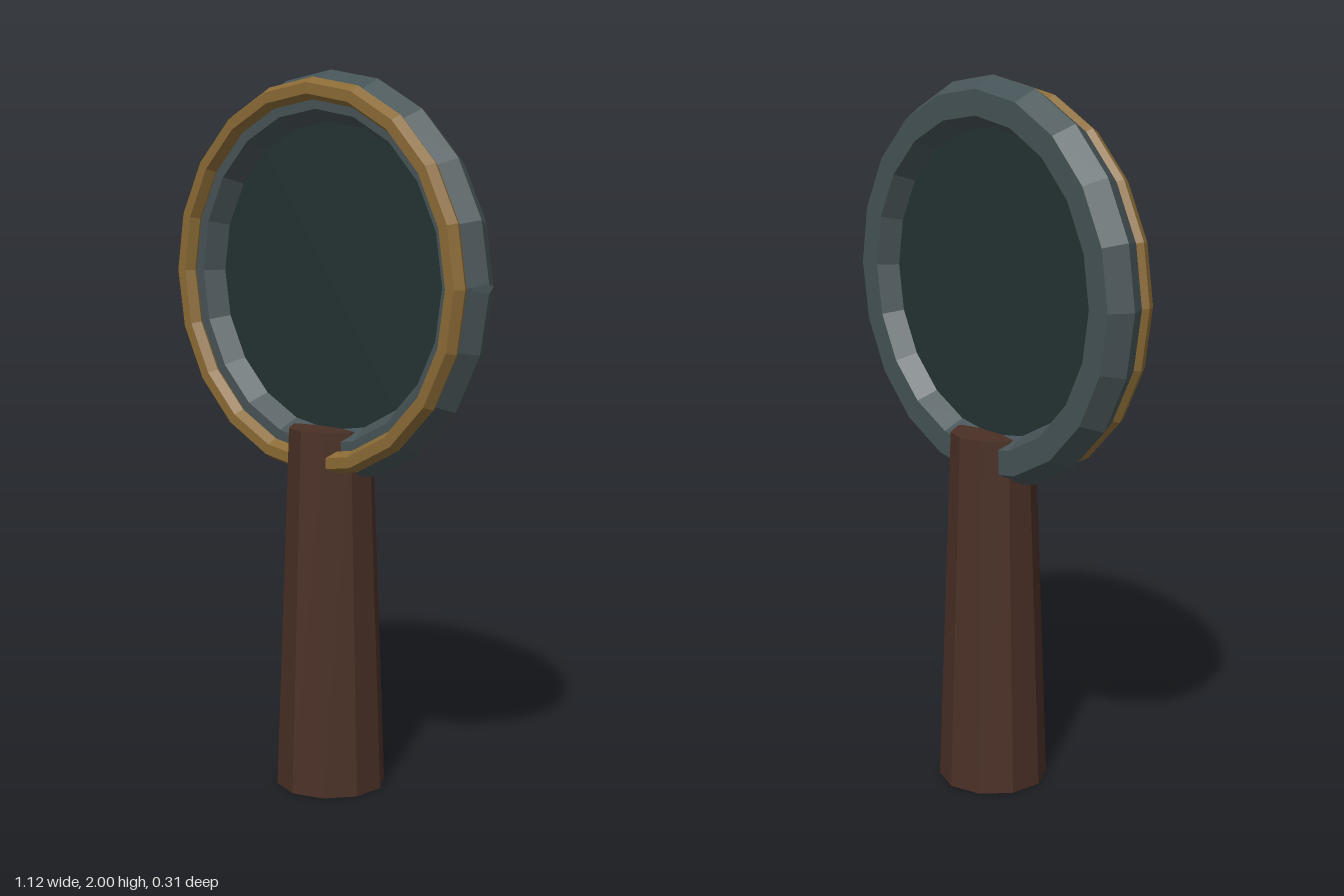
import * as THREE from 'three';

const material = (name, color, side = THREE.FrontSide) => {
  const m = new THREE.MeshStandardMaterial({ color, flatShading: true, side });
  m.name = name;
  return m;
};

export function createModel() {
  const group = new THREE.Group();
  group.name = 'handMirror';
  const centreY = 1.44;
  const segments = 20;

  const metal = material('darkMetal', 0x465356, THREE.DoubleSide);
  const brass = material('brass', 0x8a6a35);
  const wood = material('darkWood', 0x4a3026);
  const glass = material('darkGlass', 0x243232);

  const add = (name, geometry, mat, y, z = 0) => {
    const mesh = new THREE.Mesh(geometry, mat);
    mesh.name = name;
    mesh.position.set(0, y, z);
    group.add(mesh);
    return mesh;
  };

  // Hexagonal-section rim, with a small nick opened along its outer seam
  const rim = new THREE.TorusGeometry(0.49, 0.07, 6, segments);
  const p = rim.attributes.position;
  for (const row of [0, 6]) {
    const first = row * (segments + 1);
    p.setY(first, 0.013);
    p.setY(first + segments, -0.013);
  }
  add('rim', rim, metal, centreY);

  // Brass trim on the front of the rim
  add('trimRing', new THREE.TorusGeometry(0.51, 0.03, 6, segments), brass, centreY, 0.07);

  // Glass disc, its corners lined up with the rim's
  const disc = new THREE.CylinderGeometry(0.425, 0.425, 0.01, segments);
  disc.rotateX(Math.PI / 2);
  add('glassDisc', disc, glass, centreY);

  // Ten-sided tapered handle
  const height = 1.025;
  add('handle', new THREE.CylinderGeometry(0.118, 0.155, height, 10), wood, height / 2);

  return group;
}
